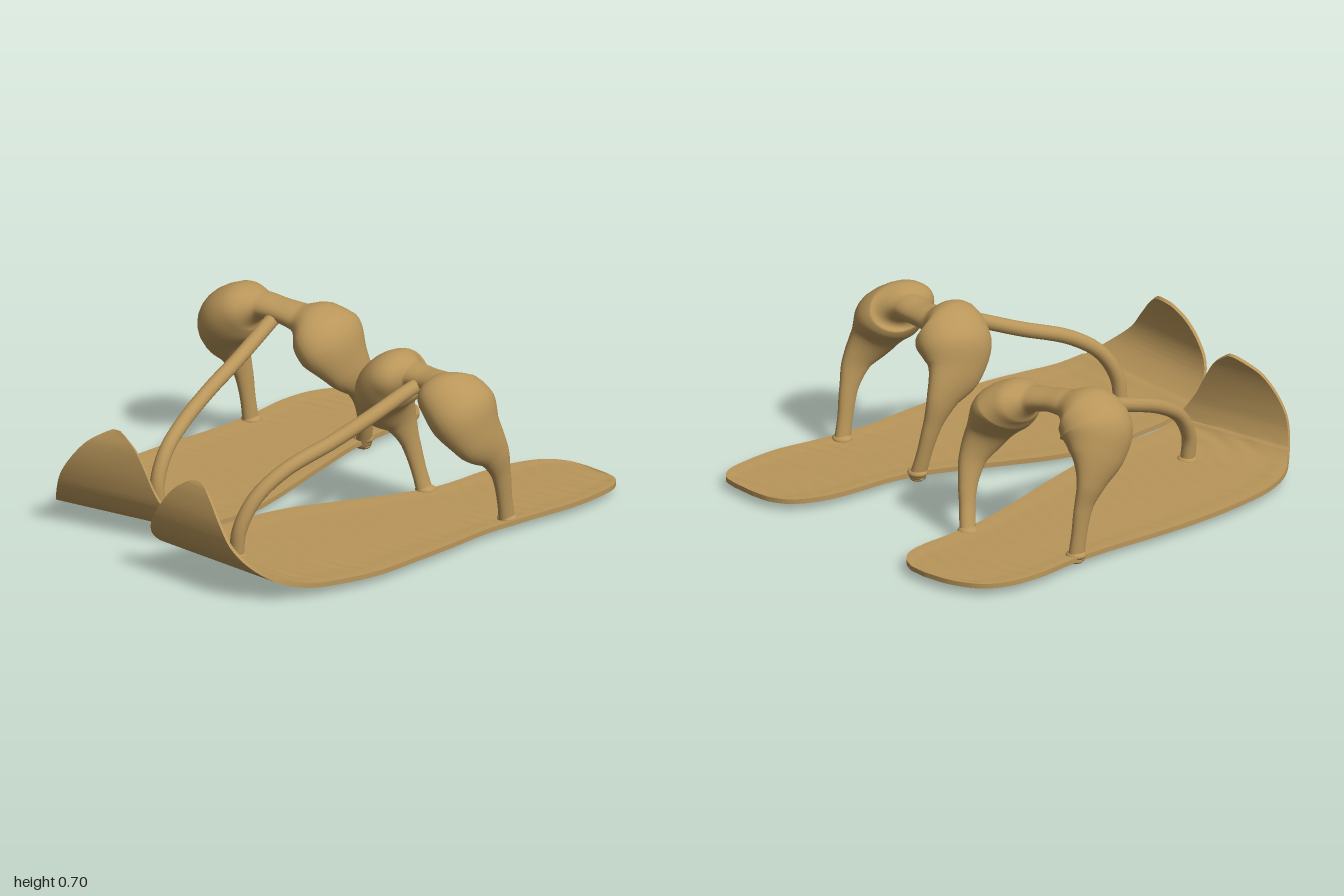
import * as THREE from 'three';
import { toCreasedNormals } from 'three/addons/utils/BufferGeometryUtils.js';

const V = (x, y, z) => new THREE.Vector3(x, y, z);
const leather = new THREE.MeshStandardMaterial({ color: 0xb9965a });
leather.name = 'tan leather';

// Skin a list of equal-length closed rings, closing both ends.
function loft(rings) {
  const centre = ring => {
    const c = V(0, 0, 0);
    ring.forEach(p => c.addScaledVector(p, 1 / ring.length));
    return ring.map(() => c);
  };
  const all = [centre(rings[0]), ...rings, centre(rings[rings.length - 1])];
  const n = rings[0].length, pos = [], idx = [];
  all.forEach(ring => ring.forEach(p => pos.push(p.x, p.y, p.z)));
  for (let i = 0; i < all.length - 1; i++) {
    for (let j = 0; j < n; j++) {
      const a = i * n + j, b = i * n + (j + 1) % n;
      if (i > 0) idx.push(a, b, b + n);
      else idx.push(a, b + n, a + n);
      if (i > 0 && i < all.length - 2) idx.push(a, b + n, a + n);
    }
  }
  const g = new THREE.BufferGeometry();
  g.setAttribute('position', new THREE.Float32BufferAttribute(pos, 3));
  g.setIndex(idx);
  g.computeVertexNormals();
  return g;
}

// Thin sole: rows of [left x, left z, right x, right z, y] from heel to curled toe tip.
function soleGeometry(rows) {
  const left = new THREE.CatmullRomCurve3(rows.map(r => V(r[0], r[4], r[1])));
  const right = new THREE.CatmullRomCurve3(rows.map(r => V(r[2], r[4], r[3])));
  const steps = 180, cols = 28, rings = [];
  for (let i = 0; i <= steps; i++) {
    const t = i / steps;
    const L = left.getPoint(t), R = right.getPoint(t);
    const along = left.getTangent(t).add(right.getTangent(t));
    // near the ends the two edges converge, so use only the lengthwise part
    const across = R.clone().sub(L).normalize();
    along.addScaledVector(across, -along.dot(across)).normalize();
    const up = along.clone().cross(across).normalize();
    const top = [], bottom = [];
    for (let j = 0; j <= cols; j++) {
      const u = j / cols, p = L.clone().lerp(R, u);
      const edge = Math.min(u, 1 - u, t * 4);
      const inner = THREE.MathUtils.smoothstep(edge, 0.06, 0.14) * (1 - THREE.MathUtils.smoothstep(t, 0.6, 0.72));
      const grain = Math.sin(p.z * 85 + 2 * Math.sin(p.x * 9)) * Math.sin(p.x * 7 + p.z * 13);
      const thick = (t > 0.68 ? 0.014 : 0.02) + inner * (0.003 * grain - 0.003);
      top.unshift(p.clone().addScaledVector(up, thick));
      bottom.push(p);
    }
    rings.push([...top, ...bottom]);
  }
  return toCreasedNormals(loft(rings), 0.8);
}

// Strap swept through points [x, y, z, half thickness, half depth].
function strapGeometry(points) {
  const path = new THREE.CatmullRomCurve3(points.map(p => V(p[0], p[1], p[2])));
  const size = new THREE.CatmullRomCurve3(points.map(p => V(p[3], p[4], 0)));
  const rings = [], steps = 112, sides = 28;
  for (let i = 0; i <= steps; i++) {
    const t = i / steps, P = path.getPoint(t), T = path.getTangent(t), s = size.getPoint(t);
    const B = V(0, 0, 1).addScaledVector(T, -T.z).normalize();
    const N = B.clone().cross(T);
    rings.push(Array.from({ length: sides }, (_, j) => {
      const a = j / sides * Math.PI * 2;
      return P.clone().addScaledVector(N, s.x * Math.cos(a)).addScaledVector(B, s.y * Math.sin(a));
    }));
  }
  return loft(rings);
}

function mesh(name, geometry) {
  const m = new THREE.Mesh(geometry, leather);
  m.name = name;
  return m;
}

function sandal(name, { sole, bow, thong, plugY }) {
  const g = new THREE.Group();
  g.name = name;
  g.add(mesh('sole', soleGeometry(sole)));
  g.add(mesh('ankleStrap', strapGeometry(bow)));
  const curve = new THREE.CatmullRomCurve3(thong.map(p => V(...p)));
  g.add(mesh('toeThong', new THREE.TubeGeometry(curve, 48, 0.03, 14)));
  // Collars above the sole and plugs below it where the straps pass through.
  [thong[0], bow[0], bow[bow.length - 1]].forEach(([x, , z], i) => {
    const collar = mesh('strapCollar', new THREE.SphereGeometry(1, 16, 10));
    collar.scale.set(0.042, 0.02, 0.042);
    collar.position.set(x, 0.045, z);
    const plug = mesh('strapPlug', new THREE.SphereGeometry(1, 16, 10));
    plug.scale.set(0.03, 0.014, 0.03);
    plug.position.set(x, plugY[i], z);
    g.add(collar, plug);
  });
  return g;
}

const leftSandal = {
  sole: [
    [0.55, -1, 0.66, -1, 0.03], [0.46, -0.985, 0.73, -0.985, 0.03], [0.38, -0.93, 0.78, -0.93, 0.03],
    [0.325, -0.8, 0.81, -0.8, 0.03], [0.31, -0.65, 0.82, -0.65, 0.03], [0.31, -0.5, 0.805, -0.5, 0.028],
    [0.295, -0.38, 0.795, -0.38, 0.026], [0.24, -0.22, 0.79, -0.22, 0.026], [0.145, 0, 0.81, 0, 0.026],
    [0.065, 0.2, 0.825, 0.2, 0.027], [0.03, 0.42, 0.835, 0.42, 0.028], [0.04, 0.6, 0.81, 0.6, 0.032],
    [0.05, 0.75, 0.77, 0.75, 0.042], [0.065, 0.87, 0.72, 0.87, 0.08], [0.09, 0.96, 0.65, 0.96, 0.15],
    [0.125, 0.995, 0.58, 0.995, 0.22], [0.175, 0.998, 0.52, 0.998, 0.3], [0.23, 0.98, 0.45, 0.98, 0.375],
    [0.29, 0.96, 0.39, 0.96, 0.42], [0.325, 0.95, 0.355, 0.95, 0.432],
  ],
  bow: [
    [0.29, 0.025, -0.36, 0.028, 0.038], [0.27, 0.12, -0.345, 0.025, 0.035], [0.25, 0.25, -0.315, 0.03, 0.045],
    [0.24, 0.36, -0.27, 0.045, 0.08], [0.255, 0.46, -0.2, 0.075, 0.135], [0.3, 0.55, -0.165, 0.115, 0.165],
    [0.36, 0.61, -0.155, 0.1, 0.15], [0.42, 0.615, -0.17, 0.052, 0.075], [0.5, 0.615, -0.175, 0.046, 0.07],
    [0.575, 0.615, -0.17, 0.052, 0.075], [0.635, 0.6, -0.155, 0.1, 0.15], [0.7, 0.54, -0.165, 0.115, 0.165],
    [0.75, 0.45, -0.2, 0.075, 0.135], [0.772, 0.35, -0.275, 0.04, 0.075], [0.767, 0.25, -0.32, 0.028, 0.045],
    [0.757, 0.12, -0.35, 0.025, 0.035], [0.75, 0.025, -0.37, 0.028, 0.038],
  ],
  thong: [
    [0.315, 0.035, 0.71], [0.325, 0.16, 0.7], [0.345, 0.28, 0.63], [0.375, 0.37, 0.5],
    [0.425, 0.45, 0.28], [0.465, 0.53, 0.08], [0.485, 0.59, -0.08], [0.49, 0.61, -0.17],
  ],
  plugY: [0.025, 0.022, 0.025],
};

const rightSandal = {
  sole: [
    [-0.53, -1, -0.45, -1, 0.03], [-0.66, -0.97, -0.39, -0.975, 0.03], [-0.77, -0.9, -0.335, -0.92, 0.03],
    [-0.82, -0.8, -0.305, -0.82, 0.03], [-0.83, -0.65, -0.295, -0.7, 0.03], [-0.8, -0.45, -0.265, -0.5, 0.028],
    [-0.79, -0.25, -0.2, -0.28, 0.026], [-0.795, 0, -0.12, -0.04, 0.026], [-0.79, 0.2, -0.06, 0.15, 0.026],
    [-0.77, 0.42, -0.015, 0.33, 0.028], [-0.73, 0.62, -0.008, 0.5, 0.032], [-0.66, 0.76, -0.015, 0.62, 0.042],
    [-0.585, 0.84, -0.03, 0.71, 0.08], [-0.54, 0.88, -0.06, 0.75, 0.15], [-0.51, 0.89, -0.1, 0.77, 0.22],
    [-0.46, 0.88, -0.14, 0.78, 0.3], [-0.4, 0.85, -0.19, 0.785, 0.375], [-0.34, 0.81, -0.25, 0.785, 0.42],
    [-0.31, 0.79, -0.28, 0.785, 0.437],
  ],
  bow: [
    [-0.765, 0.025, -0.41, 0.028, 0.038], [-0.77, 0.12, -0.4, 0.026, 0.035], [-0.777, 0.25, -0.38, 0.028, 0.045],
    [-0.785, 0.35, -0.345, 0.042, 0.075], [-0.765, 0.45, -0.3, 0.078, 0.13], [-0.715, 0.54, -0.27, 0.12, 0.16],
    [-0.65, 0.595, -0.28, 0.1, 0.145], [-0.58, 0.61, -0.3, 0.054, 0.08], [-0.5, 0.605, -0.32, 0.046, 0.075],
    [-0.42, 0.59, -0.345, 0.052, 0.08], [-0.36, 0.57, -0.365, 0.09, 0.145], [-0.295, 0.52, -0.385, 0.105, 0.175],
    [-0.24, 0.42, -0.43, 0.065, 0.125], [-0.225, 0.32, -0.495, 0.042, 0.07], [-0.24, 0.22, -0.535, 0.032, 0.045],
    [-0.265, 0.12, -0.56, 0.027, 0.035], [-0.3, 0.02, -0.585, 0.028, 0.036],
  ],
  thong: [
    [-0.29, 0.035, 0.555], [-0.3, 0.15, 0.555], [-0.32, 0.26, 0.49], [-0.35, 0.34, 0.37],
    [-0.4, 0.42, 0.17], [-0.445, 0.485, -0.03], [-0.485, 0.56, -0.22], [-0.5, 0.6, -0.31],
  ],
  plugY: [0.02, 0.022, 0.014],
};

export function createModel() {
  const model = new THREE.Group();
  model.name = 'pairOfSandals';
  model.add(sandal('leftSandal', leftSandal), sandal('rightSandal', rightSandal));
  return model;
}
